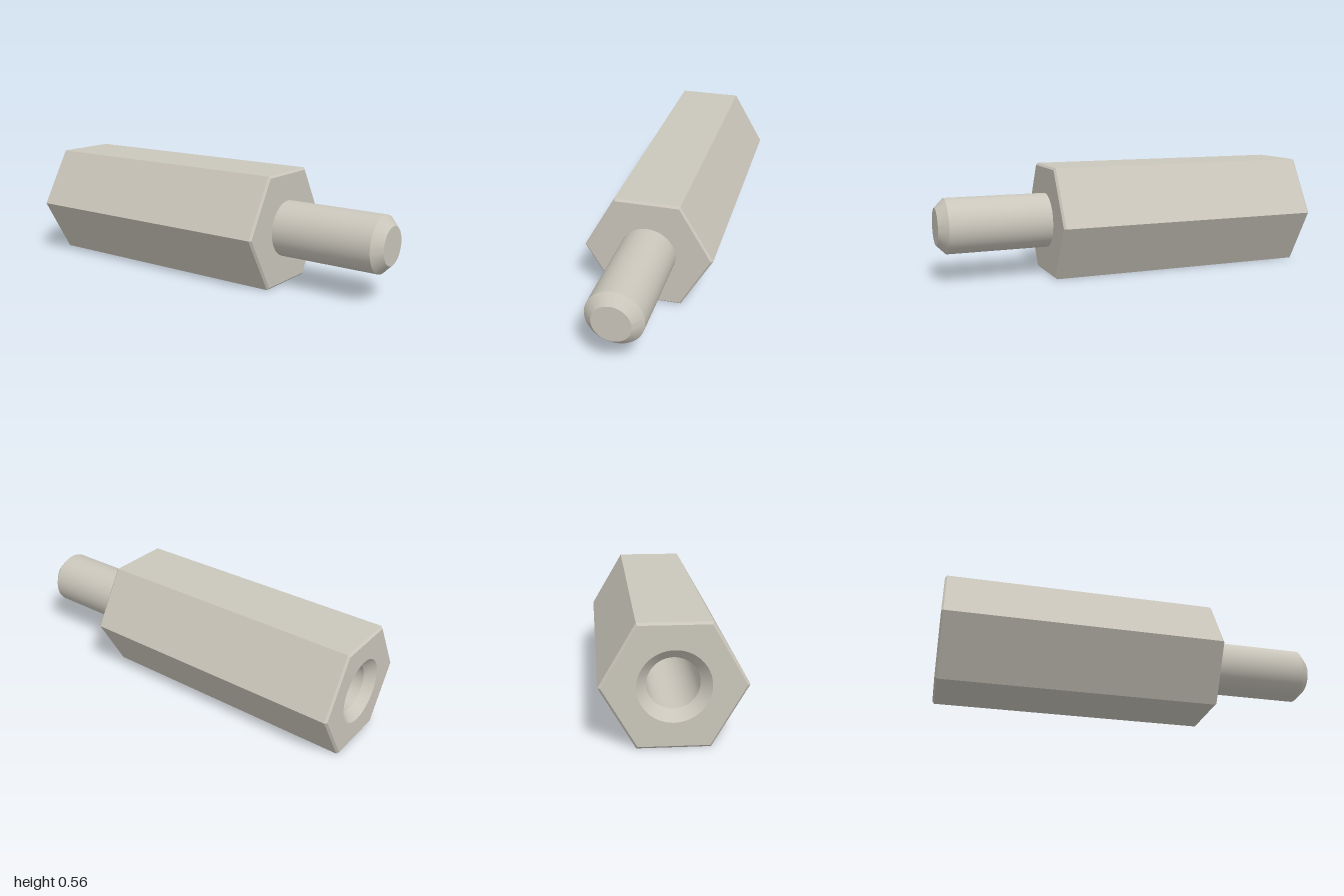
import * as THREE from 'three';
import { toCreasedNormals } from 'three/addons/utils/BufferGeometryUtils.js';

const APOTHEM = 0.28, LENGTH = 1.398, CHAMFER = 0.01;
const STUD_R = 0.139, STUD_LENGTH = 0.56, STUD_CHAMFER = 0.046;
const BORE_R = 0.116, SINK_R = 0.162, BORE_DEPTH = 0.84;

export function createModel() {
  const metal = new THREE.MeshStandardMaterial({ color: 0xcac6bb });
  metal.name = 'warm grey metal';

  const model = new THREE.Group();
  model.name = 'hexStandoff';
  // The axis runs along local +x, turned slightly towards the front
  const standoff = new THREE.Group();
  standoff.name = 'standoff';
  standoff.position.set(-0.935, APOTHEM, -0.146);
  standoff.rotation.y = THREE.MathUtils.degToRad(-12);
  model.add(standoff);

  const add = (name, geometry) => {
    const mesh = new THREE.Mesh(geometry, metal);
    mesh.name = name;
    standoff.add(mesh);
  };

  // Revolve [radius, axial] pairs about local x, keeping edges sharp
  const turned = (profile, sides) => {
    const points = profile.map(([r, a]) => new THREE.Vector2(r, a));
    const geometry = new THREE.LatheGeometry(points, sides);
    geometry.rotateZ(-Math.PI / 2);
    return toCreasedNormals(geometry, 0.4);
  };

  // Hexagonal body with chamfered ends
  const outer = APOTHEM / Math.cos(Math.PI / 6);
  const inner = (APOTHEM - CHAMFER) / Math.cos(Math.PI / 6);
  add('hexBody', turned([
    [inner, 0], [outer, CHAMFER], [outer, LENGTH - CHAMFER], [inner, LENGTH], [0, LENGTH],
  ], 6));

  // End face around the bore
  const face = new THREE.Shape();
  for (let i = 0; i < 6; i++) {
    const a = i * Math.PI / 3;
    face[i ? 'lineTo' : 'moveTo'](inner * Math.cos(a), inner * Math.sin(a));
  }
  face.closePath();
  face.holes.push(new THREE.Path().absarc(0, 0, SINK_R, 0, Math.PI * 2, true));
  add('boreEndFace', new THREE.ShapeGeometry(face, 32).rotateY(-Math.PI / 2));

  // Countersunk blind bore
  add('bore', turned([
    [0, BORE_DEPTH], [BORE_R, BORE_DEPTH], [BORE_R, SINK_R - BORE_R], [SINK_R, 0],
  ], 64));

  // Stud with chamfered tip
  const tip = LENGTH + STUD_LENGTH;
  add('stud', turned([
    [STUD_R, LENGTH - 0.005], [STUD_R, tip - STUD_CHAMFER],
    [STUD_R - STUD_CHAMFER, tip], [0, tip],
  ], 64));

  return model;
}
